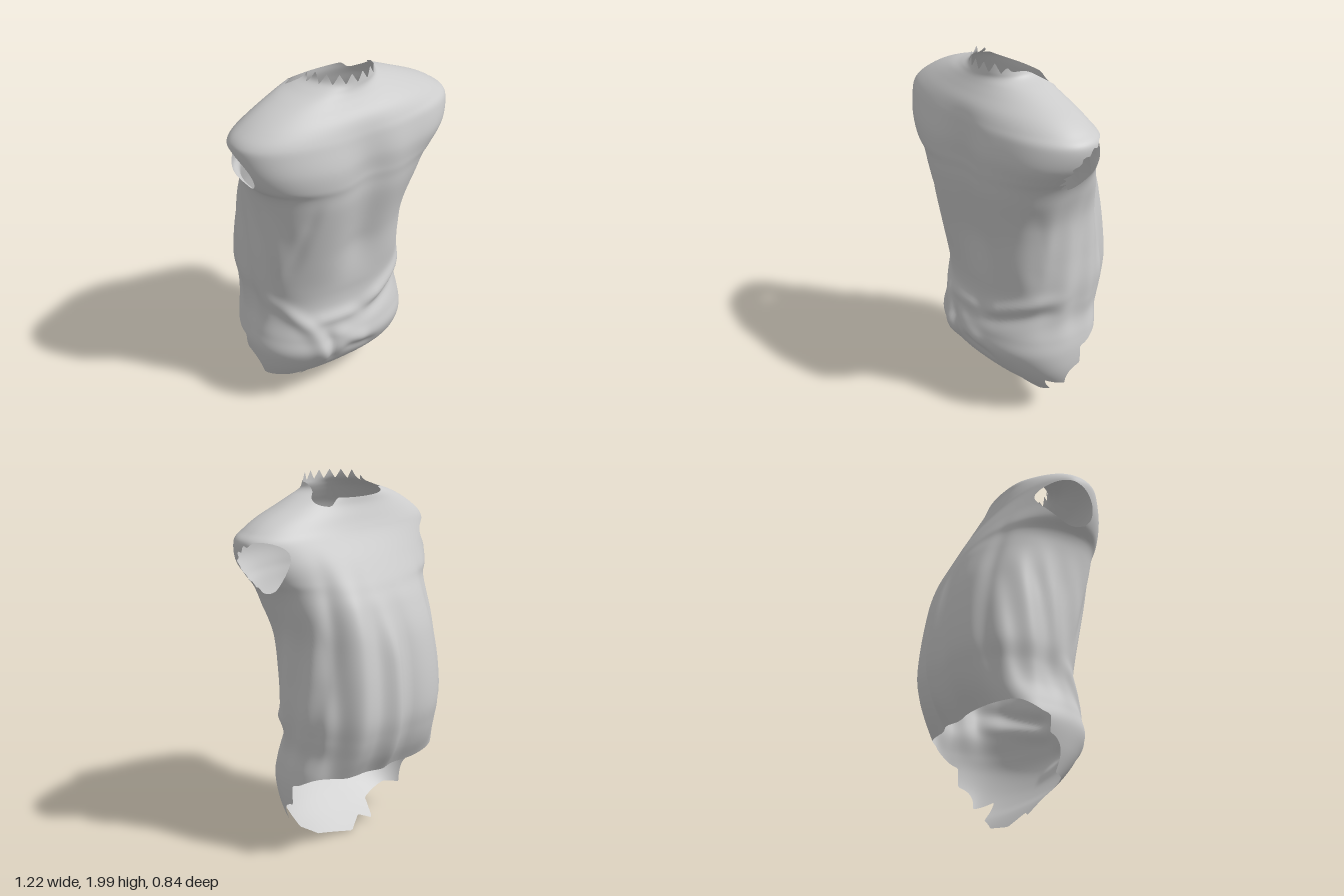
import * as THREE from 'three';
import { mergeVertices } from 'three/addons/utils/BufferGeometryUtils.js';

// Horizontal sections: height, right edge, left edge, front depth, back depth
const SECTIONS = [
  [-0.02, -0.30, 0.27, -0.01, -0.07], [0.05, -0.37, 0.32, 0.05, -0.09], [0.12, -0.42, 0.37, 0.115, -0.12],
  [0.2, -0.45, 0.41, 0.2, -0.16], [0.3, -0.48, 0.435, 0.28, -0.2], [0.41, -0.5, 0.44, 0.335, -0.24],
  [0.5, -0.485, 0.43, 0.325, -0.29], [0.6, -0.46, 0.41, 0.3, -0.345], [0.7, -0.455, 0.415, 0.285, -0.38],
  [0.82, -0.47, 0.42, 0.295, -0.4], [1.0, -0.47, 0.41, 0.335, -0.39], [1.2, -0.465, 0.41, 0.38, -0.355],
  [1.36, -0.472, 0.45, 0.415, -0.305], [1.45, -0.495, 0.485, 0.425, -0.265], [1.51, -0.55, 0.53, 0.43, -0.235],
  [1.6, -0.585, 0.59, 0.425, -0.185],
  [1.7, -0.605, 0.61, 0.395, -0.125], [1.75, -0.59, 0.56, 0.375, -0.1], [1.8, -0.53, 0.48, 0.35, -0.08],
  [1.85, -0.445, 0.37, 0.315, -0.062], [1.89, -0.35, 0.275, 0.288, -0.055], [1.92, -0.25, 0.2, 0.272, -0.05],
  [1.95, -0.178, 0.175, 0.265, -0.047], [2.0, -0.16, 0.165, 0.26, -0.043],
];
const FRONT_HEM = [[-0.6, 0.4], [-0.5, 0.37], [-0.43, 0.17], [-0.37, 0.17], [-0.22, 0.115], [-0.2, 0.02],
  [-0.12, 0.055], [-0.03, 0.0], [0.2, 0.05], [0.31, 0.12], [0.35, 0.24], [0.4, 0.2], [0.45, 0.36], [0.6, 0.4]];

const { smoothstep, clamp, lerp } = THREE.MathUtils;
const gauss = (d, w) => Math.exp(-(d * d) / (w * w));
const zigzag = t => Math.abs(t - Math.floor(t) - 0.5) * 2;

// Smooth section at a fractional row
function sectionAt(u) {
  const i = Math.min(Math.floor(u), SECTIONS.length - 2), t = u - i;
  const row = k => SECTIONS[clamp(k, 0, SECTIONS.length - 1)];
  return SECTIONS[0].map((_, c) => {
    const [a, b, d, e] = [row(i - 1)[c], row(i)[c], row(i + 1)[c], row(i + 2)[c]];
    return b + 0.5 * t * (d - a + t * (2 * a - 5 * b + 4 * d - e + t * (3 * (b - d) + e - a)));
  });
}

// Cloth fold along a segment in the x-y plane, tapering at both ends
function crease(x, y, [x1, y1, x2, y2, width, height]) {
  const dx = x2 - x1, dy = y2 - y1, len2 = dx * dx + dy * dy;
  const t = ((x - x1) * dx + (y - y1) * dy) / len2;
  const side = ((x - x1) * dy - (y - y1) * dx) / Math.sqrt(len2);
  return height * gauss(side, width) * smoothstep(t, -0.25, 0.2) * (1 - smoothstep(t, 0.8, 1.25));
}
const FRONT_FOLDS = [
  [0.4, 0.76, 0.08, 0.63, 0.04, 0.025], [0.42, 0.68, 0.05, 0.56, 0.04, -0.015],
  [-0.44, 0.74, -0.27, 0.57, 0.04, 0.025], [-0.27, 0.57, -0.2, 0.34, 0.045, 0.02],
  [-0.19, 0.52, -0.16, 0.32, 0.03, -0.015], [-0.25, 0.61, -0.02, 0.61, 0.035, 0.015],
  [-0.08, 0.4, 0.1, 0.34, 0.04, -0.014], [-0.14, 0.52, 0.03, 0.42, 0.045, 0.012],
  [-0.39, 0.9, -0.3, 1.35, 0.03, -0.012], [0.33, 0.85, 0.39, 1.25, 0.04, -0.018],
  [0.0, 0.95, 0.0, 1.65, 0.13, -0.055], [0.28, 1.0, 0.28, 1.65, 0.14, -0.022],
];
const BACK_FOLDS = [
  [0.05, 0.5, 0.04, 1.25, 0.045, 0.028], [0.27, 0.5, 0.22, 1.4, 0.05, 0.02],
  [0.15, 0.5, 0.13, 1.4, 0.04, -0.012], [0.36, 0.55, 0.33, 1.45, 0.045, -0.045],
  [-0.2, 0.5, -0.17, 1.3, 0.08, 0.008], [-0.05, 0.5, -0.05, 1.3, 0.05, -0.015],
  [-0.38, 0.6, -0.34, 1.4, 0.04, -0.02],
];

// Point on the draped cloth surface
function clothPoint(u, angle) {
  const [y, xr, xl, zf, zb] = sectionAt(u);
  const c = Math.cos(angle), s = Math.sin(angle);
  const waist = s > 0 ? 2.45 : lerp(2.45, 2.8, -s);
  const n = lerp(lerp(waist, 2.25, smoothstep(y, 1.2, 1.6)), 2, smoothstep(y, 1.7, 1.9));
  // the widest line drifts backwards at the hem and forwards at the shoulders
  const middle = lerp((zf + zb) / 2, 0.11, smoothstep(y, 1.5, 1.7));
  const zc = lerp(lerp(-0.03, -0.07, smoothstep(y, 0.2, 0.5)), middle, smoothstep(y, 0.55, 0.95));
  const bulge = v => Math.sign(v) * Math.abs(v) ** (2 / n);
  let x = (xl + xr) / 2 + (xl - xr) / 2 * bulge(c);
  let z = zc + (s > 0 ? zf - zc : zc - zb) * bulge(s);
  const fold = (s > 0 ? FRONT_FOLDS : BACK_FOLDS).reduce((sum, f) => sum + crease(x, y, f), 0)
    * smoothstep(Math.abs(s), 0.05, 0.5);
  // shallow vertical pleats under the arms
  const pleat = 0.008 * Math.cos(z * 38 + y * 5) * c * c * smoothstep(y, 0.45, 0.7) * (1 - smoothstep(y, 1.1, 1.4));
  x += (fold * 0.4 + pleat) * c;
  z += fold * s;
  return new THREE.Vector3(x, y, z);
}

function frontHem(x) {
  const k = clamp(FRONT_HEM.findIndex(p => p[0] > x), 1, FRONT_HEM.length - 1);
  const [a, b] = [FRONT_HEM[k - 1], FRONT_HEM[k]];
  return lerp(a[1], b[1], clamp((x - a[0]) / (b[0] - a[0]), 0, 1));
}

// Each cut keeps the cloth where its value is positive
const CUTS = [
  // long front tail and shorter back hem
  p => Math.max(Math.min(p.z + 0.03, p.y - frontHem(p.x)), p.y - 0.43 - 0.065 * smoothstep(-p.z, 0.03, 0.2)),
  // slanted armholes, the left one larger and frayed at its front
  p => {
    if (Math.abs(p.x) < 0.36) return 1;
    const left = p.x > 0;
    const dy = p.y - (left ? 1.575 : 1.6), dz = p.z - 0.07 + 0.3 * dy;
    const fray = left && dz > 0 ? 0.22 * zigzag(Math.atan2(dy, dz) * 2.4) * smoothstep(dz, 0, 0.06) : 0;
    return Math.hypot(dz / 0.145, dy / (left ? 0.14 : 0.115)) - 1 + fray;
  },
  // neck, frayed around the front and right, lower and clean on the left
  p => {
    const clean = smoothstep(p.x, 0.1, 0.17);
    const fray = 0.05 * zigzag(Math.atan2(p.x, p.z - 0.1) * 2.7) * smoothstep(p.z, -0.02, 0.08) * (1 - clean);
    return 1.885 + 0.11 * smoothstep(p.z, -0.07, 0.15) - 0.04 * clean - fray - p.y;
  },
];

function clip(poly, cut) {
  const out = [];
  poly.forEach((a, i) => {
    const b = poly[(i + 1) % poly.length], fa = cut(a), fb = cut(b);
    if (fa >= 0) out.push(a);
    if ((fa >= 0) !== (fb >= 0)) out.push(a.clone().lerp(b, fa / (fa - fb)));
  });
  return out;
}

export function createModel() {
  const around = 200, up = 161, points = [];
  for (let j = 0; j <= up; j++) {
    for (let i = 0; i < around; i++) {
      points.push(clothPoint(j / up * (SECTIONS.length - 1), i / around * Math.PI * 2));
    }
  }
  const at = (i, j) => points[j * around + i % around];
  const positions = [];
  for (let j = 0; j < up; j++) {
    for (let i = 0; i < around; i++) {
      let poly = [at(i, j), at(i, j + 1), at(i + 1, j + 1), at(i + 1, j)];
      for (const cut of CUTS) poly = clip(poly, cut);
      for (let k = 2; k < poly.length; k++) {
        for (const p of [poly[0], poly[k - 1], poly[k]]) positions.push(p.x, p.y, p.z);
      }
    }
  }
  let geometry = new THREE.BufferGeometry();
  geometry.setAttribute('position', new THREE.Float32BufferAttribute(positions, 3));
  geometry = mergeVertices(geometry, 1e-5);
  geometry.computeVertexNormals();

  const shirt = new THREE.Mesh(geometry, new THREE.MeshStandardMaterial({ color: 0xcccccc, side: THREE.DoubleSide }));
  shirt.name = 'sleevelessShirt';
  const group = new THREE.Group();
  group.name = 'tornShirt';
  group.add(shirt);
  return group;
}
